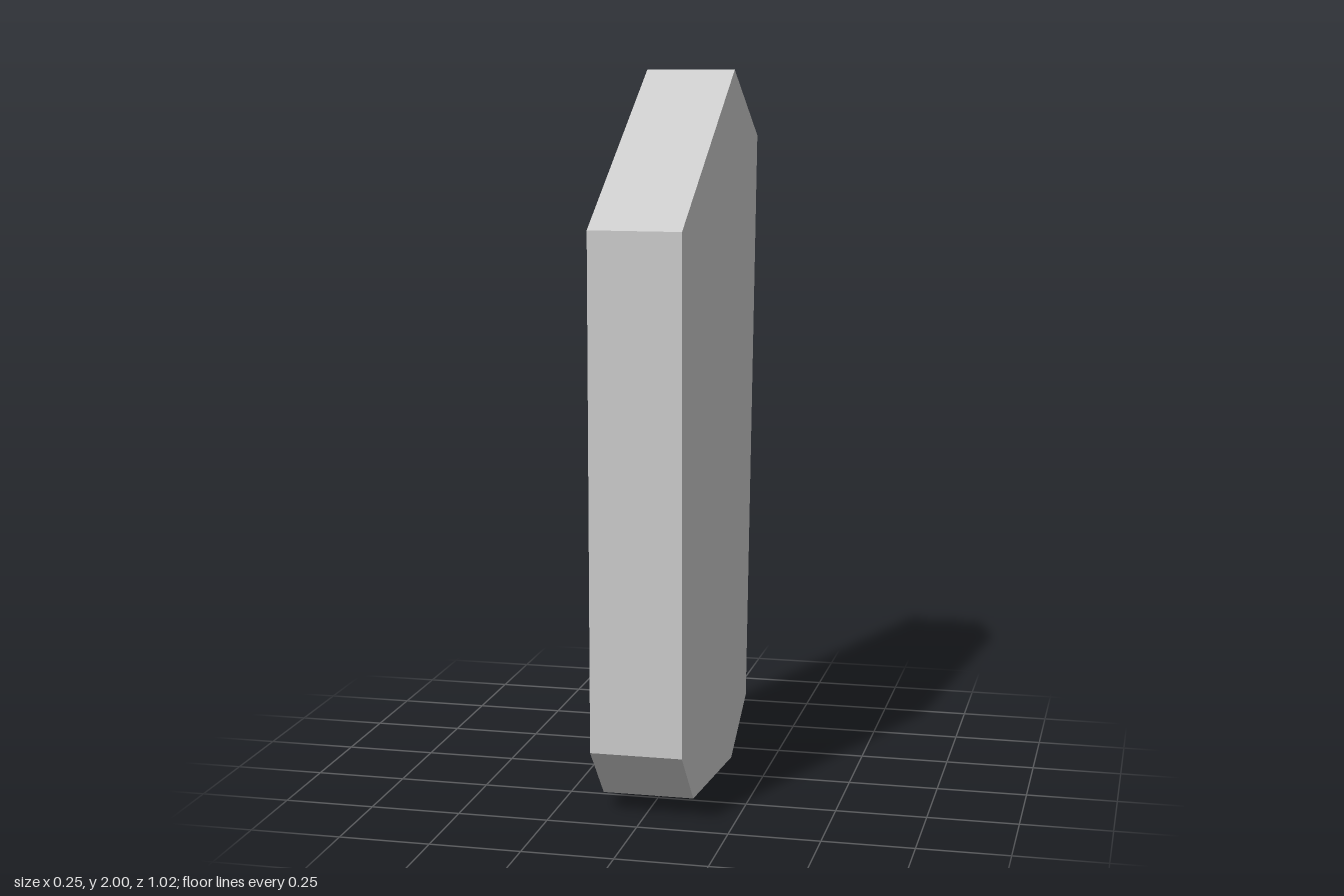
import * as THREE from 'three';

export function createModel() {
  const group = new THREE.Group();
  group.name = 'panelModel';

  // Side outline as (z, y) pairs
  const outline = [
    [0.508, 0.2], [0.508, 1.6], [-0.166, 2], [-0.508, 1.803],
    [-0.373, 0.13], [-0.154, 0], [0.366, 0.045],
  ].map(([z, y]) => new THREE.Vector2(z, y));

  // Slab of even thickness, turned so the outline faces sideways
  const width = 0.252;
  const geometry = new THREE.ExtrudeGeometry(new THREE.Shape(outline), {
    depth: width,
    bevelEnabled: false,
  });
  geometry.translate(0, 0, -width / 2);
  geometry.rotateY(-Math.PI / 2);

  const material = new THREE.MeshStandardMaterial({ color: 0xcccccc, flatShading: true });
  const slab = new THREE.Mesh(geometry, material);
  slab.name = 'facetedSlab';
  group.add(slab);
  return group;
}
